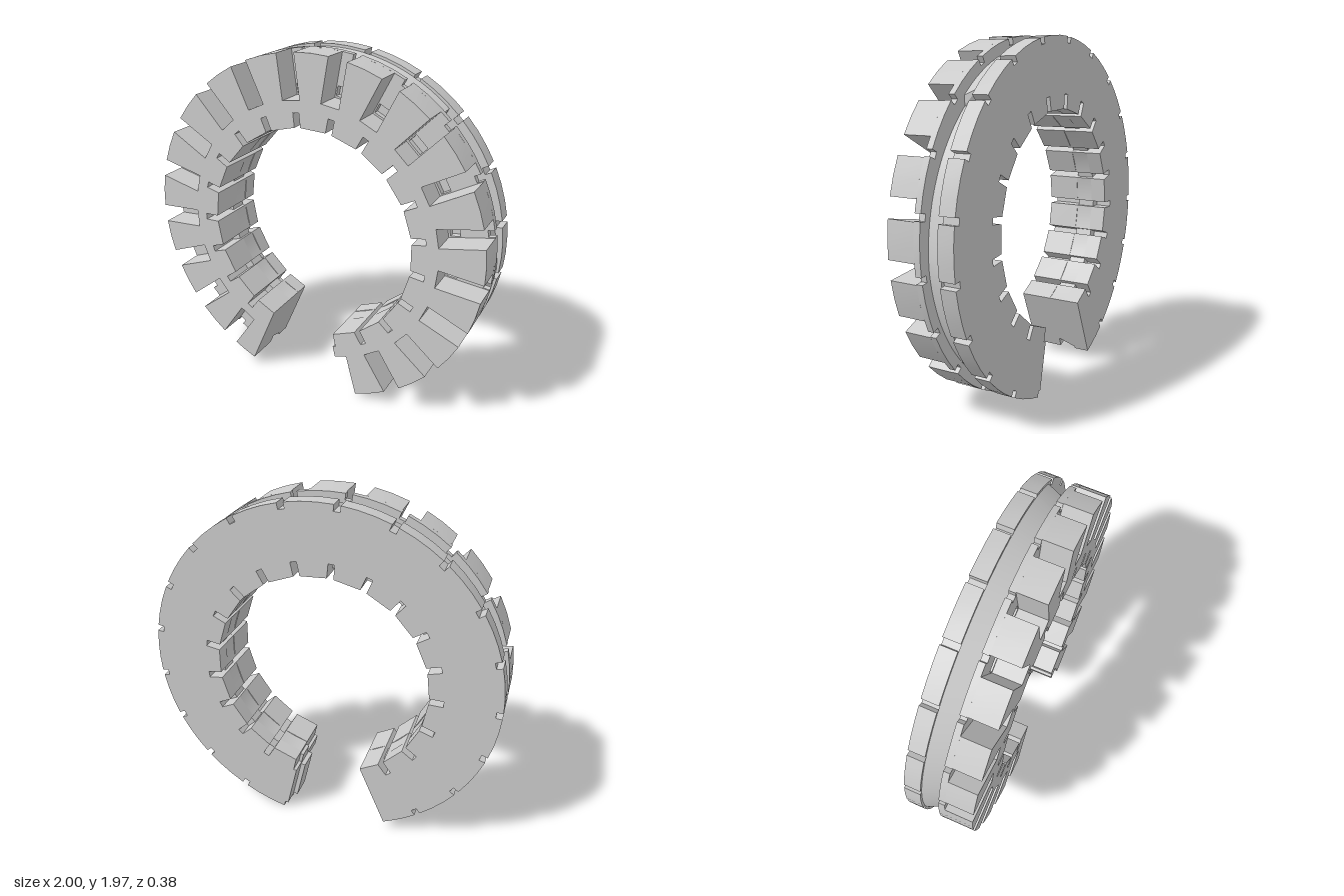
import * as THREE from 'three';
import { toCreasedNormals } from 'three/addons/utils/BufferGeometryUtils.js';

const D = Math.PI / 180, CY = 0.974;
const START = -156.8 * D, END = 167 * D, STEP = 17.25 * D;
const R = 1, R_IN = 0.61;
const slots = Array.from({ length: 19 }, (_, i) => 10 * D + (i - 9) * STEP);
const notches = slots.map(a => a + 1.7 * D);
const material = new THREE.MeshStandardMaterial({ color: 0xcccccc });

// point on the ring, angle measured clockwise from the top
const polar = (r, a) => new THREE.Vector2(r * Math.sin(a), CY + r * Math.cos(a));

// one edge of the open ring, stepped at every cut from radius r to depth
function edge(r, depth, halfWidth, centres, splits) {
  const pts = [];
  let from = START;
  const arc = to => {
    for (let i = 0; i <= splits; i++) pts.push(polar(r, from + (to - from) * i / splits));
  };
  for (const a of centres) {
    const w = halfWidth / r, wd = halfWidth / depth;
    if (a - w >= END) break;
    arc(a - w);
    pts.push(polar(depth, a - wd), polar(depth, Math.min(a + wd, END)));
    from = a + w;
  }
  if (from < END) arc(END);
  return pts;
}

// flat layer of the ring between two heights in z
function layer(name, z0, z1, outer, inner, holes = []) {
  const shape = new THREE.Shape([...outer, ...inner.slice().reverse()]);
  shape.holes = holes.map(h => new THREE.Path(h));
  const geo = new THREE.ExtrudeGeometry(shape, { depth: z1 - z0, bevelEnabled: false });
  geo.translate(0, 0, z0);
  const mesh = new THREE.Mesh(toCreasedNormals(geo, 0.3), material);
  mesh.name = name;
  return mesh;
}

// tapered core: cross-sections swept round the ring, with a cut-back and inner notches
function core() {
  const angles = [];
  for (let i = 0; i <= 100; i++) angles.push(START + (END - START) * i / 100);
  angles.push(42 * D, 44 * D);
  const w = 0.018 / R_IN;
  for (const n of notches) {
    for (const a of [n - w - 1e-4, n - w, n + w, n + w + 1e-4]) if (a < END) angles.push(a);
  }
  angles.sort((a, b) => a - b);
  const section = a => {
    const d = a / D;
    const dip = d <= 42 ? 0 : d < 44 ? (d - 42) / 2 : Math.max(0, (95 - d) / 51);
    const rIn = notches.some(n => Math.abs(a - n) < w + 5e-5) ? 0.632 : R_IN;
    return [[0.985 - 0.11 * dip, -0.1], [0.94 - 0.04 * dip, 0], [rIn, 0], [rIn, -0.1]]
      .map(([r, z]) => [...polar(r, a), z]);
  };
  const pos = [];
  const quad = (a, b, c, d) => pos.push(...a, ...b, ...c, ...a, ...c, ...d);
  const rings = angles.map(section);
  for (let i = 0; i < rings.length - 1; i++) {
    const p = rings[i], q = rings[i + 1];
    for (let j = 0; j < 4; j++) {
      const k = (j + 1) % 4;
      quad(p[j], p[k], q[k], q[j]);
    }
  }
  const first = rings[0], last = rings[rings.length - 1];
  quad(first[3], first[2], first[1], first[0]);
  quad(...last);
  const geo = new THREE.BufferGeometry();
  geo.setAttribute('position', new THREE.Float32BufferAttribute(pos, 3));
  const mesh = new THREE.Mesh(toCreasedNormals(geo, 0.3), material);
  mesh.name = 'taperedCore';
  return mesh;
}

export function createModel() {
  const group = new THREE.Group();
  group.name = 'slottedOpenRing';

  const inner = edge(R_IN, 0.69, 0.018, notches, 1);
  const rim = edge(R, 0.965, 0.018, notches, 3);

  // small pockets in the floor of each slot
  const pockets = slots.slice(0, -1).map(a => [[0.765, -1], [0.765, 1], [0.82, 1], [0.82, -1]]
    .map(([r, s]) => polar(r, a + s * 0.045 / r)));

  group.add(layer('frontTeeth', 0.035, 0.19, edge(R, 0.755, 0.052, slots, 2), inner));
  group.add(layer('slotFloor', 0, 0.035, rim, inner, pockets));
  group.add(core());
  group.add(layer('backPlate', -0.19, -0.1, rim, inner));

  // tab standing out of the open end
  const tab = new THREE.Mesh(new THREE.BoxGeometry(0.05, 0.25, 0.13), material);
  const c = polar(0.83, END + 0.1 * D);
  tab.position.set(c.x, c.y, -0.035);
  tab.rotation.z = -END + Math.PI;
  tab.name = 'endTab';
  group.add(tab);
  return group;
}
